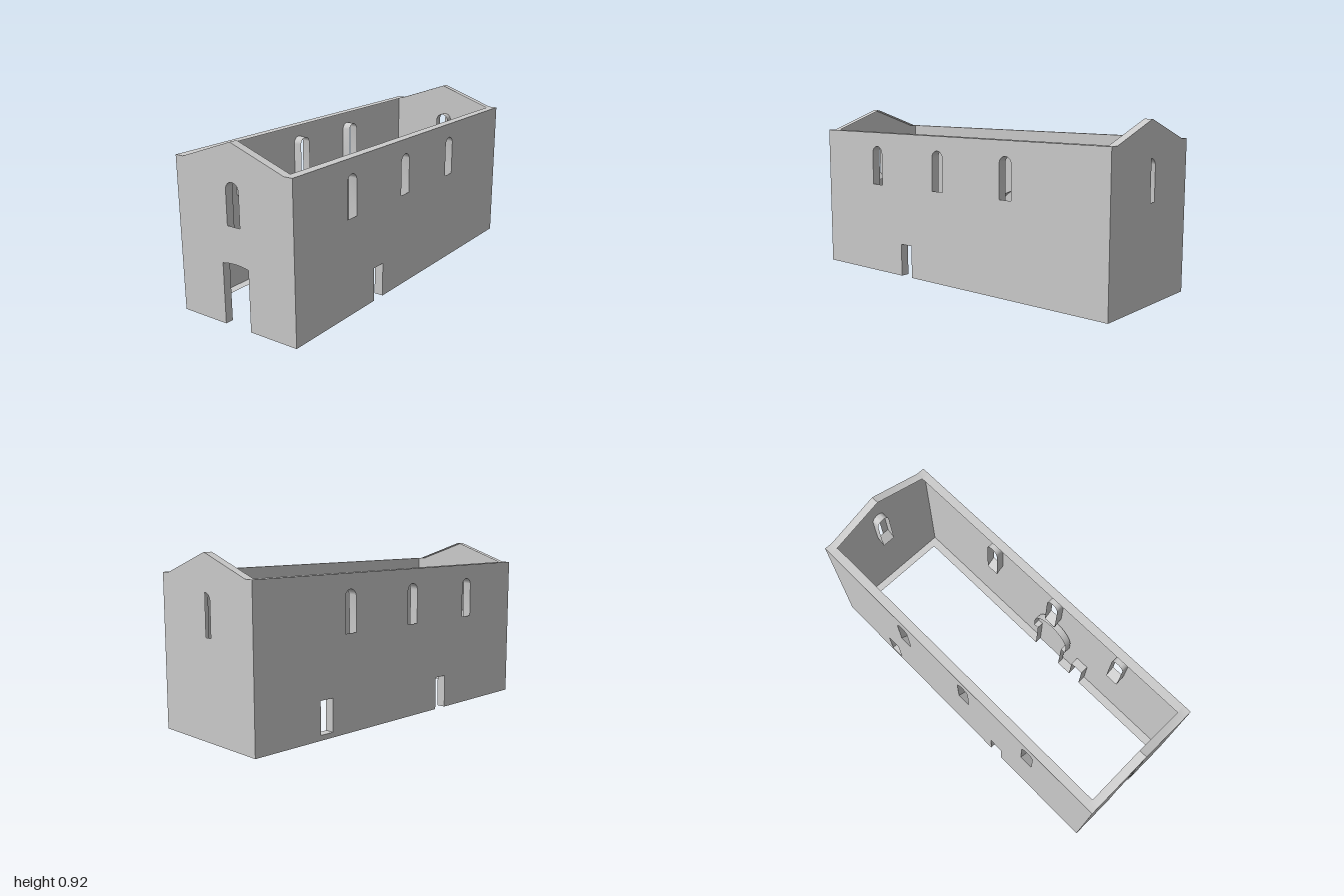
import * as THREE from 'three';
import { mergeGeometries, toCreasedNormals } from 'three/addons/utils/BufferGeometryUtils.js';

// The walls are an outer skin with reveals, sills and edges turned inwards.
const HW = 0.363, EAVE = 0.81, RIDGE = 0.92, SIDE_T = 0.05, END_T = 0.045;
const material = new THREE.MeshStandardMaterial({ color: 0xcccccc, side: THREE.DoubleSide });
const V = (x, y) => new THREE.Vector2(x, y);

// points along a half-ellipse-free round arc, from angle a0 to a1
function arc(u, y, r, a0, a1, n) {
  return Array.from({ length: n + 1 }, (_, i) => {
    const a = a0 + ((a1 - a0) * i) / n;
    return V(u + r * Math.cos(a), y + r * Math.sin(a));
  });
}

// round-headed window outline, counter-clockwise
const arch = (u, half, bottom, spring) =>
  [V(u - half, bottom), V(u + half, bottom), ...arc(u, spring, half, 0, Math.PI, 16)];

const rect = (u0, u1, y0, y1) => [V(u0, y0), V(u1, y0), V(u1, y1), V(u0, y1)];

// flat masonry face at depth z
function face(outline, holes, z) {
  const shape = new THREE.Shape(outline);
  shape.holes = holes.map((h) => new THREE.Path(h));
  const g = new THREE.ShapeGeometry(shape).translate(0, 0, z).toNonIndexed();
  g.deleteAttribute('uv');
  g.deleteAttribute('normal');
  return g;
}

// strip between path a at depth z0 and the matching path b at depth z1
function strip(a, z0, z1, b = a) {
  const pos = [];
  for (let i = 0; i + 1 < a.length; i++) {
    const j = i + 1;
    const A = [a[i].x, a[i].y, z0], B = [a[j].x, a[j].y, z0];
    const C = [b[j].x, b[j].y, z1], D = [b[i].x, b[i].y, z1];
    pos.push(...A, ...B, ...C, ...A, ...C, ...D);
  }
  const g = new THREE.BufferGeometry();
  g.setAttribute('position', new THREE.Float32BufferAttribute(pos, 3));
  return g;
}

// lining of an opening: closed path, clockwise so that it faces into the hole
function lining(inner, outer, t) {
  const loop = (pts) => [...pts, pts[0]].reverse();
  return strip(loop(inner), 0, t, loop(outer));
}

function part(name, geometries) {
  const mesh = new THREE.Mesh(toCreasedNormals(mergeGeometries(geometries), 0.5), material);
  mesh.name = name;
  return mesh;
}

const SILL_DROP = 0.04;

// side wall; s = 1 for the left (+x) wall, -1 for the right wall
function sideWall(s, name) {
  const wall = new THREE.Group();
  wall.name = name;
  const t = SIDE_T, end = 1 - END_T;
  const at = (z) => -s * z;

  // windows with sills sloping down to the inside
  const windows = [0.5625, 0.082, -0.39].map((z) => ({
    outer: arch(at(z), 0.0385, 0.51, 0.692),
    inner: arch(at(z), 0.0385, 0.51 - SILL_DROP, 0.692),
  }));
  if (s < 0) {
    const low = rect(-0.597, -0.515, 0.027, 0.2);
    windows.push({ outer: low, inner: low });
  }

  // side doorway
  const d = at(0.331), dw = 0.041;
  const door = [V(d - dw, 0), V(d - dw, 0.183), V(d + dw, 0.183), V(d + dw, 0)];

  // blind arch inside: narrower jambs under a wider round head
  const n = at(0.0975), jamb = 0.0975, r = 0.128, step = 0.25, depth = 0.04;
  const niche = [
    V(n - jamb, 0), V(n - jamb, step), V(n - r, step),
    ...arc(n, 0.312, r, Math.PI, 0, 24),
    V(n + r, step), V(n + jamb, step), V(n + jamb, 0),
  ];

  // underside runs between the doorway and the blind arch
  const [first, second] = [door, niche].sort((a, b) => a[0].x - b[0].x);
  const runs = [
    [V(-end, 0), first[0]],
    [first.at(-1), second[0]],
    [second.at(-1), V(end, 0)],
  ];

  wall.add(
    part('masonry', [
      face([V(-1, 0), ...door, V(1, 0), V(1, EAVE), V(-1, EAVE)], windows.map((w) => w.outer), t),
      strip([V(end, EAVE), V(-end, EAVE)], 0, t),
      ...runs.map((run) => strip(run, 0, t)),
      strip([niche[0], niche.at(-1)], depth, t),
      strip(door, 0, t),
    ]),
    part('windowReveals', windows.map((w) => lining(w.inner, w.outer, t))),
    part('blindArch', [strip(niche, 0, depth), face(niche, [], depth)]),
  );
  wall.rotation.y = (s * Math.PI) / 2;
  wall.position.x = s * (HW - t);
  return wall;
}

// gabled end wall: the front has a doorway, the back a half-closed window
function endWall(isFront, name) {
  const wall = new THREE.Group();
  wall.name = name;
  const t = END_T;
  const base = [V(-HW, 0)];
  if (isFront) {
    base.push(V(-0.082, 0));
    for (let i = 0; i <= 8; i++) {
      const k = i / 4 - 1;
      base.push(V(0.082 * k, 0.328 - 0.009 * k * k));
    }
    base.push(V(0.082, 0));
  }
  base.push(V(HW, 0));
  const gable = [V(HW, EAVE), V(0.315, EAVE), V(0, RIDGE), V(-0.315, EAVE), V(-HW, EAVE)];

  const full = arch(0, 0.04, 0.515, 0.691);
  const half = [V(0, 0.515), V(0.04, 0.515), ...arc(0, 0.691, 0.04, 0, Math.PI / 2, 8)];
  wall.add(
    part('masonry', [
      face([...base, ...gable], [isFront ? full : half], t),
      strip(base, 0, t),
      strip(gable, 0, t),
    ]),
    part('windowReveal', [lining(arch(0, 0.04, 0.515 - SILL_DROP, 0.691), full, t)]),
  );
  if (!isFront) wall.rotation.y = Math.PI;
  wall.position.z = (isFront ? 1 : -1) * (1 - t);
  return wall;
}

export function createModel() {
  const model = new THREE.Group();
  model.name = 'rooflessChapel';
  model.add(
    endWall(true, 'frontGable'),
    endWall(false, 'backGable'),
    sideWall(1, 'leftWall'),
    sideWall(-1, 'rightWall'),
  );
  return model;
}
